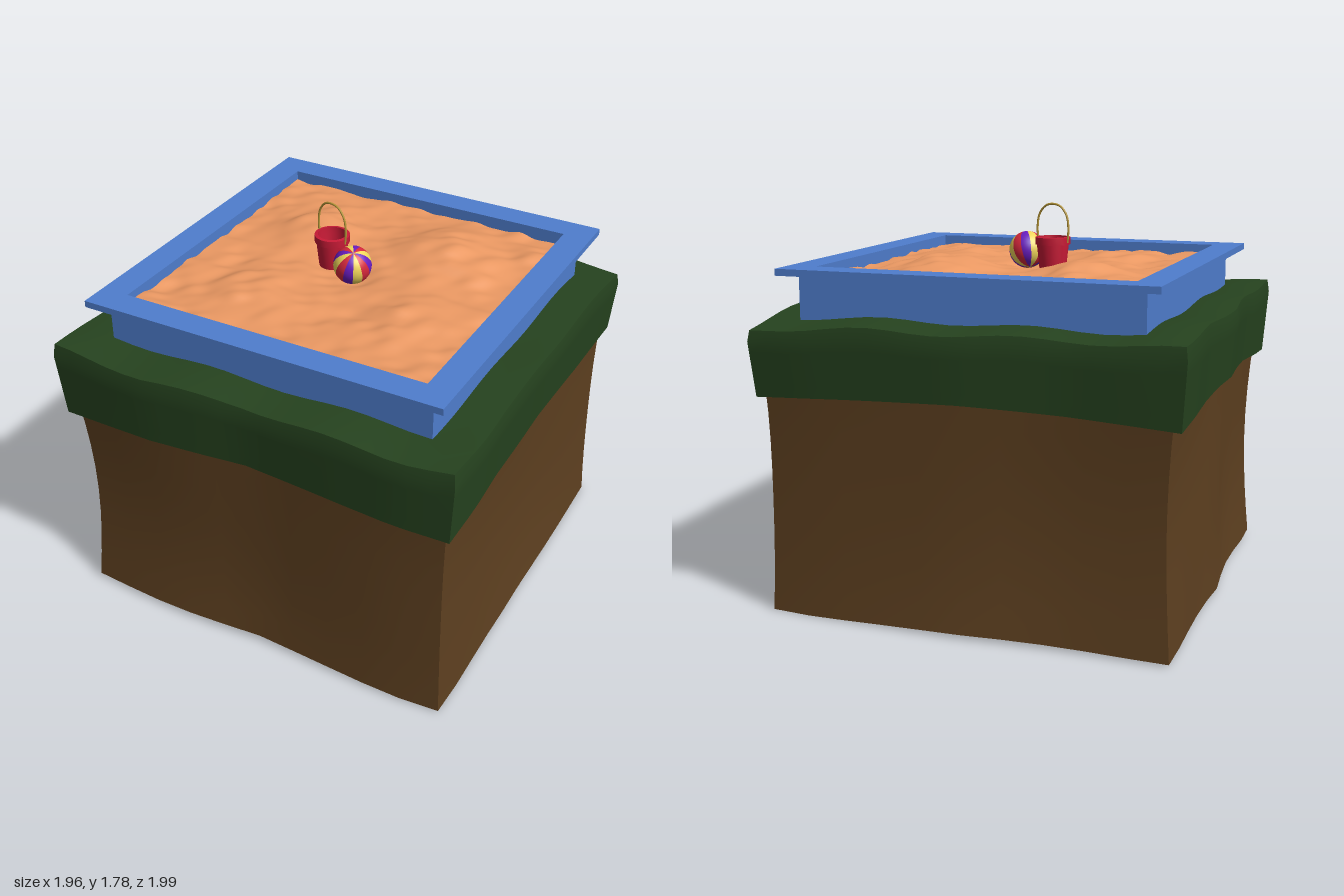
import * as THREE from 'three';
import { toCreasedNormals } from 'three/addons/utils/BufferGeometryUtils.js';

const mat = (color, extra = {}) => new THREE.MeshStandardMaterial({ color, ...extra });

function addMesh(parent, name, geometry, material) {
  const mesh = new THREE.Mesh(geometry, material);
  mesh.name = name;
  parent.add(mesh);
  return mesh;
}

// Move every vertex by a rule
function reshape(geometry, rule) {
  const p = geometry.attributes.position;
  const v = new THREE.Vector3();
  for (let i = 0; i < p.count; i++) {
    rule(v.fromBufferAttribute(p, i));
    p.setXYZ(i, v.x, v.y, v.z);
  }
  geometry.computeVertexNormals();
  return geometry;
}

// Sample an evenly spaced list for t in -1..1
function sample(list, t) {
  const f = THREE.MathUtils.clamp((t + 1) / 2, 0, 1) * (list.length - 1);
  const i = Math.min(Math.floor(f), list.length - 2);
  return THREE.MathUtils.lerp(list[i], list[i + 1], f - i);
}

// Uneven outline of the turf, one list per side
const LEFT_EDGE = [0.96, 0.965, 0.97, 0.97, 0.97, 0.975, 0.975, 0.985, 0.98];
const RIGHT_EDGE = [-0.975, -0.975, -0.965, -0.965, -0.98, -0.955, -0.94, -0.955, -0.95];
const FRONT_EDGE = [0.95, 0.97, 0.985, 0.975, 0.955, 0.965, 0.975, 0.98, 0.955];
const BACK_EDGE = [-0.99, -0.985, -0.975, -0.985, -1, -0.995, -0.985, -0.975, -0.95];

function outline(u, w) {
  return [
    THREE.MathUtils.lerp(sample(RIGHT_EDGE, w), sample(LEFT_EDGE, w), (u + 1) / 2),
    THREE.MathUtils.lerp(sample(BACK_EDGE, u), sample(FRONT_EDGE, u), (w + 1) / 2),
  ];
}

// Smooth value noise on a hashed lattice
function hash(x, z) {
  const s = Math.sin(x * 127.1 + z * 311.7) * 43758.5453;
  return s - Math.floor(s);
}
function noise(x, z) {
  const i = Math.floor(x), j = Math.floor(z);
  const ease = t => t * t * (3 - 2 * t);
  const a = ease(x - i), b = ease(z - j);
  const lerp = THREE.MathUtils.lerp;
  return lerp(lerp(hash(i, j), hash(i + 1, j), a), lerp(hash(i, j + 1), hash(i + 1, j + 1), a), b) - 0.5;
}

function squarePath(half, path) {
  path.moveTo(-half, -half);
  path.lineTo(half, -half);
  path.lineTo(half, half);
  path.lineTo(-half, half);
  path.closePath();
  return path;
}

// Square ring lying flat, from height y0 to y1
function squareRing(outer, inner, y0, y1) {
  const shape = squarePath(outer, new THREE.Shape());
  shape.holes.push(squarePath(inner, new THREE.Path()));
  return new THREE.ExtrudeGeometry(shape, { depth: y1 - y0, bevelEnabled: false })
    .rotateX(-Math.PI / 2).translate(0, y0, 0);
}

function sandHeight(x, z) {
  const hump = (cx, cz, r, h) => h * Math.exp(-((x - cx) ** 2 + (z - cz) ** 2) / (r * r));
  return 1.485
    + hump(-0.37, -0.27, 0.2, 0.06) + hump(0.28, -0.32, 0.24, 0.065)
    + hump(0.42, 0.25, 0.2, 0.045) + hump(-0.32, 0.36, 0.2, 0.04)
    + hump(0, 0, 0.2, -0.015)
    + 0.022 * noise(x * 6 + 3, z * 6 + 9) + 0.02 * noise(x * 13 + z * 5, z * 15);
}

export function createModel() {
  const model = new THREE.Group();
  model.name = 'sandboxOnEarthBlock';

  // Earth block with a slightly pinched waist
  const soil = reshape(new THREE.BoxGeometry(2, 2, 2, 10, 8, 10), v => {
    const { x: u, y: h, z: w } = v;
    const [ox, oz] = outline(u, w);
    const pinch = 0.945 - 0.03 * (1 - h * h) * (0.7 + 0.3 * Math.sin(u * 2 - w * 3 + h));
    v.x = ox * pinch + 0.006;
    v.z = oz * pinch;
    const base = 0.014 + 0.009 * Math.cos(u * 2.5) - 0.008 * u + 0.005 * w;
    v.y = THREE.MathUtils.lerp(Math.max(0, base), 1.04, (h + 1) / 2);
  });
  addMesh(model, 'soilBlock', toCreasedNormals(soil, 0.6), mat(0x5e4020));

  // Wavy turf slab with softened rims
  const turf = reshape(new THREE.BoxGeometry(2, 2, 2, 20, 6, 20), v => {
    const { x: u, y: h, z: w } = v;
    const [ox, oz] = outline(u, w);
    const t = (h + 1) / 2;
    const inset = 0.978 + 0.022 * Math.min(1, t * 1.2) - (t > 0.99 ? 0.008 : 0);
    const edge = Math.max(Math.abs(u), Math.abs(w));
    const top = 1.333 + 0.01 * Math.cos(u * 9 + 2.4) + 0.008 * Math.cos(w * 8 - 1.8)
      - 0.045 * Math.max(0, u) ** 3 * Math.max(0, -w) ** 3 - (edge > 0.99 ? 0.008 : 0);
    const bottom = 1.025 - 0.022 * (u * u + w * w - 1) - 0.02 * Math.abs(u * w);
    v.x = ox * inset;
    v.z = oz * inset;
    v.y = THREE.MathUtils.lerp(bottom, top, t);
  });
  addMesh(model, 'grassTurf', toCreasedNormals(turf, 0.6), mat(0x26431f));

  // Sandbox: walls, overhanging rim and sand
  const sandbox = new THREE.Group();
  sandbox.name = 'sandbox';
  sandbox.position.set(0.015, 0, -0.012);
  model.add(sandbox);
  const blue = mat(0x4f7dcd);
  addMesh(sandbox, 'sandboxWalls', squareRing(0.775, 0.72, 1.28, 1.51), blue);
  addMesh(sandbox, 'sandboxRim', squareRing(0.85, 0.72, 1.505, 1.535), blue);

  const sand = reshape(new THREE.PlaneGeometry(1.45, 1.45, 80, 80).rotateX(-Math.PI / 2), v => {
    v.y = sandHeight(v.x, v.z);
  });
  addMesh(sandbox, 'sand', sand, mat(0xea9862, { side: THREE.DoubleSide }));

  // Bucket with a rolled lip and a wire handle
  const bucket = new THREE.Group();
  bucket.name = 'bucket';
  bucket.position.set(-0.122, 1.47, -0.058);
  bucket.rotation.y = -0.24;
  model.add(bucket);
  const profile = [[0, 0], [0.06, 0], [0.073, 0.125], [0.08, 0.125], [0.08, 0.158],
    [0.065, 0.16], [0.064, 0.125], [0.053, 0.012], [0, 0.012]].map(([r, y]) => new THREE.Vector2(r, y));
  const pail = new THREE.LatheGeometry(profile, 32);
  addMesh(bucket, 'bucketPail', toCreasedNormals(pail, 0.6), mat(0xc81a36, { side: THREE.DoubleSide }));
  const arch = new THREE.CatmullRomCurve3([[-0.078, 0.135], [-0.083, 0.2], [-0.072, 0.26], [-0.04, 0.298],
    [0, 0.308], [0.04, 0.298], [0.072, 0.26], [0.083, 0.2], [0.078, 0.135]]
    .map(([x, y]) => new THREE.Vector3(x, y, 0)));
  addMesh(bucket, 'bucketHandle', new THREE.TubeGeometry(arch, 40, 0.005, 8), mat(0xb8983a));

  // Beach ball made of coloured wedges around a tilted axis
  const ball = new THREE.Group();
  ball.name = 'beachBall';
  ball.position.set(0.033, 1.555, 0.035);
  ball.quaternion.setFromUnitVectors(new THREE.Vector3(0, 1, 0), new THREE.Vector3(0.25, 0.9, 0.36).normalize());
  model.add(ball);
  const colors = [mat(0x6a1cc0), mat(0xf0d65a), mat(0xd6283c)];
  const wedges = 12;
  for (let i = 0; i < wedges; i++) {
    const step = Math.PI * 2 / wedges;
    addMesh(ball, 'ballWedge' + (i + 1), new THREE.SphereGeometry(0.086, 4, 24, i * step, step), colors[i % 3]);
  }

  return model;
}
